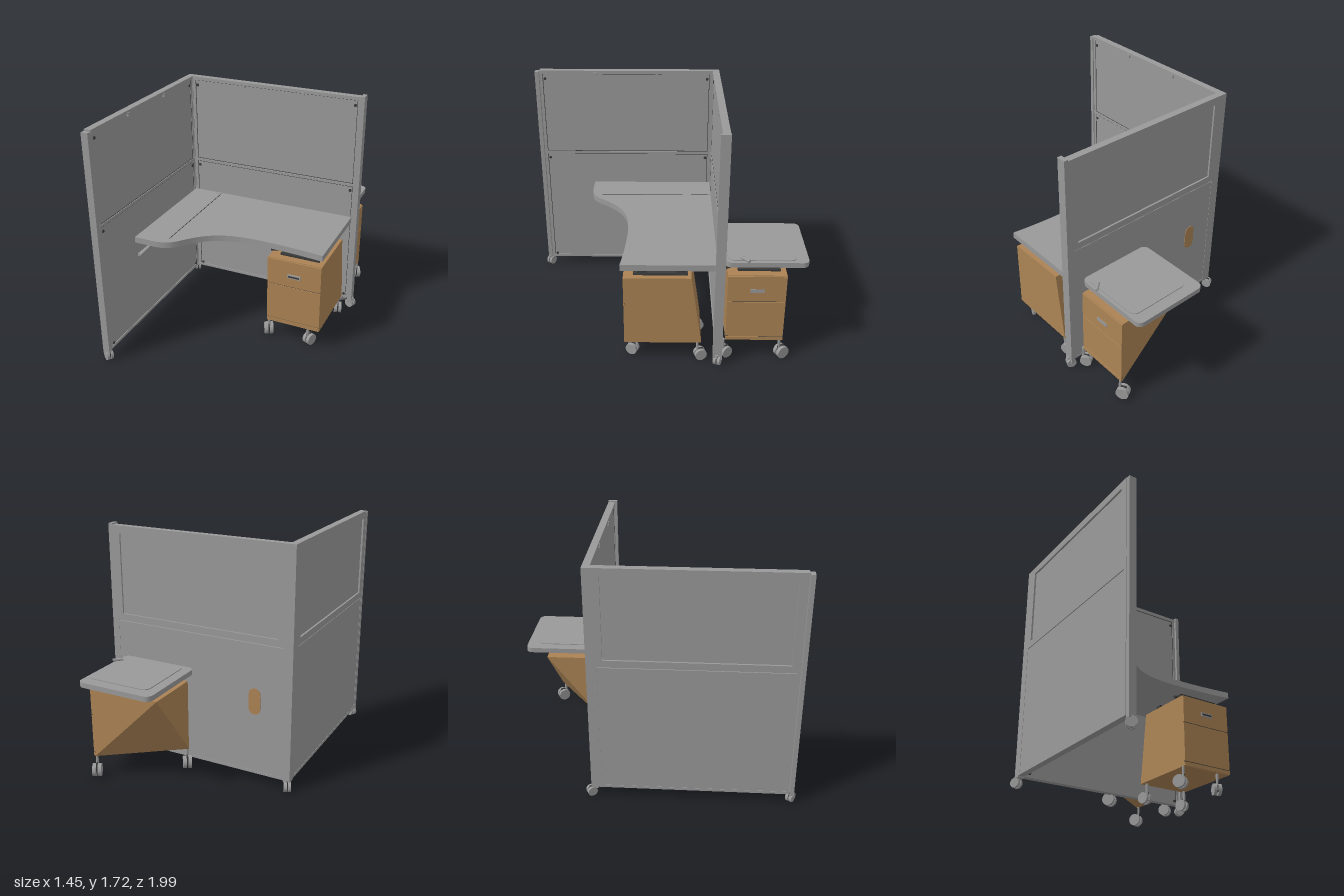
import * as THREE from 'three';
import { ConvexGeometry } from 'three/addons/geometries/ConvexGeometry.js';

const mat = (name, color) => {
  const m = new THREE.MeshStandardMaterial({ color });
  m.name = name;
  return m;
};

export function createModel() {
  const grey = mat('grey', 0x999999);
  const wood = mat('wood', 0xab8354);
  const dark = mat('dark', 0x3a3a3a);
  const model = new THREE.Group();

  const add = (parent, name, geo, material) => {
    const m = new THREE.Mesh(geo, material);
    m.name = name;
    parent.add(m);
    return m;
  };
  // box given by its min and max corners
  const box = (parent, name, material, x0, x1, y0, y1, z0, z1) => {
    const m = add(parent, name, new THREE.BoxGeometry(x1 - x0, y1 - y0, z1 - z0), material);
    m.position.set((x0 + x1) / 2, (y0 + y1) / 2, (z0 + z1) / 2);
    return m;
  };
  // straight rod between two points
  const rod = (parent, name, material, a, b, r) => {
    const va = new THREE.Vector3(...a), vb = new THREE.Vector3(...b);
    const m = add(parent, name, new THREE.CylinderGeometry(r, r, va.distanceTo(vb), 8), material);
    m.position.copy(va).add(vb).multiplyScalar(0.5);
    m.quaternion.setFromUnitVectors(new THREE.Vector3(0, 1, 0), vb.sub(va).normalize());
    return m;
  };
  const group = (name, parent = model) => {
    const g = new THREE.Group();
    g.name = name;
    parent.add(g);
    return g;
  };

  // Partition wall: length along x, inner side towards +z
  function wall(name, length) {
    const g = group(name), h = length / 2;
    box(g, 'lowerPanel', grey, -h + 0.02, h - 0.02, 0.1, 1.04, -0.023, 0.016);
    box(g, 'upperPanel', grey, -h + 0.02, h - 0.02, 1.07, 1.7, -0.012, 0.016);
    box(g, 'bottomRail', grey, -h, h, 0.09, 0.11, -0.025, 0.022);
    box(g, 'middleRail', grey, -h, h, 1.045, 1.065, -0.025, 0.022);
    box(g, 'topRail', grey, -h, h, 1.7, 1.725, -0.025, 0.025);
    for (const s of [-1, 1]) {
      const x = s * (h - 0.011);
      box(g, 'stile', grey, x - 0.011, x + 0.011, 0.09, 1.71, -0.025, 0.02);
      // frame around the outer side of the upper panel
      box(g, 'upperFrameSide', grey, s * (h - 0.04) - 0.018, s * (h - 0.04) + 0.018, 1.065, 1.7, -0.025, -0.01);
      const clip = s * 0.235;
      box(g, 'topClip', grey, clip - 0.01, clip + 0.01, 1.685, 1.71, 0.01, 0.03);
      for (const y of [0.12, 1.01, 1.66]) {
        const screw = add(g, 'screw', new THREE.CylinderGeometry(0.011, 0.011, 0.006, 10), dark);
        screw.rotation.x = Math.PI / 2;
        screw.position.set(s * (h - 0.04), y, 0.018);
      }
      // narrow shadow gaps beside the panels
      box(g, 'panelGap', dark, s * (h - 0.024) - 0.002, s * (h - 0.024) + 0.002, 0.11, 1.7, 0.012, 0.017);
    }
    for (const y of [1.08, 1.685])
      box(g, 'upperFrameRail', grey, -h + 0.02, h - 0.02, y - 0.015, y + 0.015, -0.025, -0.01);
    for (const y of [1.042, 1.068, 1.698])
      box(g, 'railGap', dark, -h + 0.02, h - 0.02, y - 0.002, y + 0.002, 0.012, 0.0175);
    return g;
  }
  wall('backWall', 1.32).position.set(0.01, 0, -0.405);
  const side = wall('sideWall', 1.32);
  side.rotation.y = Math.PI / 2;
  side.position.set(-0.675, 0, 0.28);
  box(model, 'cornerPost', grey, -0.7, -0.65, 0.08, 1.725, -0.43, -0.38);
  box(model, 'rightPost', grey, 0.67, 0.7, 0.06, 1.735, -0.43, -0.365);
  box(model, 'frontPost', grey, -0.7, -0.65, 0.07, 1.715, 0.945, 0.975);

  // Slot-shaped cover on the outside of the back wall
  const slot = new THREE.Shape();
  slot.absarc(0, 0.052, 0.043, 0, Math.PI, false);
  slot.absarc(0, -0.052, 0.043, Math.PI, Math.PI * 2, false);
  const cover = add(model, 'slotCover',
    new THREE.ExtrudeGeometry(slot, { depth: 0.005, bevelEnabled: false, curveSegments: 6 }), wood);
  cover.rotation.y = Math.PI;
  cover.position.set(-0.43, 0.63, -0.427);

  // Twin-wheel caster with a stem
  function caster(name, x, z, r, turn, stemTop) {
    const g = group(name);
    for (const s of [-1, 1]) {
      const w = add(g, 'wheel', new THREE.CylinderGeometry(r, r, r * 0.55, 16), grey);
      w.rotation.z = Math.PI / 2;
      w.position.set(s * r * 0.4, r, 0);
    }
    box(g, 'fork', dark, -r * 0.12, r * 0.12, r * 0.5, r * 2.1, -r * 0.5, r * 0.7);
    rod(g, 'stem', grey, [0, r * 1.6, r * 0.5], [0, stemTop - 0.015, r * 0.5], 0.01);
    g.position.set(x, 0.015, z);
    g.rotation.y = turn;
  }
  caster('cornerFoot', -0.685, -0.43, 0.035, 0.5, 0.1);
  caster('rightFoot', 0.685, -0.4, 0.035, 1.2, 0.1);
  caster('frontFoot', -0.67, 0.955, 0.035, 1.0, 0.1);

  // Desk top with a swept front edge
  const top = new THREE.Shape();
  top.moveTo(-0.65, 0.38);
  top.lineTo(-0.65, -0.55);
  top.lineTo(-0.49, -0.55);
  top.bezierCurveTo(-0.41, -0.545, -0.37, -0.52, -0.32, -0.455);
  top.bezierCurveTo(-0.2, -0.3, -0.08, -0.24, 0.18, -0.237);
  top.bezierCurveTo(0.36, -0.24, 0.5, -0.25, 0.655, -0.27);
  top.lineTo(0.655, 0.38);
  const desk = add(model, 'deskTop',
    new THREE.ExtrudeGeometry(top, { depth: 0.044, bevelEnabled: false, curveSegments: 14 }), grey);
  desk.rotation.x = -Math.PI / 2;
  desk.position.y = 0.755;
  box(model, 'deskSeam', dark, -0.417, -0.413, 0.798, 0.801, -0.36, 0.47);
  box(model, 'deskClip', grey, -0.46, -0.41, 0.797, 0.803, -0.375, -0.355);

  // Diagonal desk brackets
  const brackets = group('deskBrackets');
  for (const z of [0.305, 0.51]) {
    rod(brackets, 'brace', grey, [-0.64, 0.635, z], [-0.53, 0.755, z], 0.01);
    box(brackets, 'braceArm', grey, -0.65, -0.51, 0.742, 0.756, z - 0.01, z + 0.01);
  }
  box(brackets, 'wallBar', grey, -0.655, -0.635, 0.63, 0.65, 0.295, 0.52);
  rod(brackets, 'backBrace', grey, [-0.443, 0.635, -0.38], [-0.443, 0.755, -0.265], 0.011);

  // Pedestals: drawers face +z
  const bodyOf = (pts) => new ConvexGeometry(pts.map((p) => new THREE.Vector3(...p)));
  function pedestal(name, pts) {
    const g = group(name), w = 0.2;
    add(g, 'body', bodyOf(pts), wood);
    box(g, 'upperDrawer', wood, -w, w, 0.488, 0.685, 0.255, 0.267);
    box(g, 'lowerDrawer', wood, -w, w, 0.2, 0.482, 0.255, 0.267);
    box(g, 'plinth', wood, -w, w, 0.167, 0.194, 0.255, 0.267);
    for (const y of [0.485, 0.197])
      box(g, 'drawerGap', dark, -w, w, y - 0.003, y + 0.003, 0.254, 0.262);
    // adjusting mechanism on the lid
    box(g, 'mechanismPlate', dark, -0.13, 0.16, 0.69, 0.705, -0.17, 0.2);
    for (const z of [-0.12, 0.14]) {
      add(g, 'mechanismMount', bodyOf([-1, 1].flatMap((s) => [
        [-0.13, 0.7, z + s * 0.035], [0.17, 0.7, z + s * 0.035],
        [-0.07, 0.74, z + s * 0.02], [0.16, 0.74, z + s * 0.02]])), dark);
      box(g, 'mechanismArm', dark, -0.14, 0.18, 0.73, 0.75, z - 0.025, z + 0.025);
    }
    rod(g, 'lever', dark, [-0.21, 0.705, 0.18], [-0.1, 0.715, 0.14], 0.01);
    return g;
  }
  const corners = (zTop, zBottom) => [-0.2, 0.2].flatMap((x) =>
    [[x, 0.165, 0.257], [x, 0.69, 0.257], [x, 0.69, zTop], [x, 0.165, zBottom]]);

  const front = pedestal('deskPedestal', corners(-0.195, -0.27));
  front.position.set(0.445, 0, -0.015);
  box(front, 'handle', grey, -0.045, 0.052, 0.56, 0.588, 0.265, 0.277);
  box(front, 'handleGap', dark, -0.037, 0.044, 0.568, 0.58, 0.274, 0.279);

  // Rear pedestal: turned to face +x, one lower back corner cut away
  const cut = corners(-0.27, -0.27).filter(([x, y, z]) => !(x > 0 && y < 0.3 && z < 0));
  const rear = pedestal('seatPedestal', cut);
  rear.rotation.y = Math.PI / 2;
  rear.position.set(0.343, 0, -0.655);
  box(rear, 'handle', grey, -0.045, 0.052, 0.56, 0.588, 0.265, 0.27);

  caster('deskPedestalCaster', 0.24, 0.2, 0.046, 0.5, 0.17);
  caster('deskPedestalCaster', 0.56, 0.2, 0.042, -0.4, 0.17);
  caster('deskPedestalCaster', 0.62, -0.28, 0.042, 0.3, 0.17);
  caster('deskPedestalCaster', 0.27, -0.27, 0.042, 0.3, 0.17);
  caster('seatPedestalCaster', 0.59, -0.46, 0.042, 0.6, 0.17);
  caster('seatPedestalCaster', 0.59, -0.855, 0.046, 0.5, 0.17);
  caster('seatPedestalCaster', 0.085, -0.46, 0.046, 0.6, 0.17);

  // Seat cushion with a raised pad
  function slab(name, x0, x1, z0, z1, y, depth, r) {
    const s = new THREE.Shape();
    s.absarc(x1 - r, -z0 - r, r, 0, Math.PI / 2, false);
    s.absarc(x0 + r, -z0 - r, r, Math.PI / 2, Math.PI, false);
    s.absarc(x0 + r, -z1 + r, r, Math.PI, Math.PI * 1.5, false);
    s.absarc(x1 - r, -z1 + r, r, Math.PI * 1.5, Math.PI * 2, false);
    const m = add(model, name,
      new THREE.ExtrudeGeometry(s, { depth, bevelEnabled: false, curveSegments: 6 }), grey);
    m.rotation.x = -Math.PI / 2;
    m.position.y = y;
  }
  slab('seatCushion', 0.03, 0.595, -1.0, -0.435, 0.75, 0.036, 0.045);
  slab('seatPad', 0.1, 0.57, -0.92, -0.455, 0.78, 0.012, 0.05);
  rod(model, 'seatLever', grey, [0.545, 0.8, -0.545], [0.6, 0.8, -0.595], 0.011);

  return model;
}
